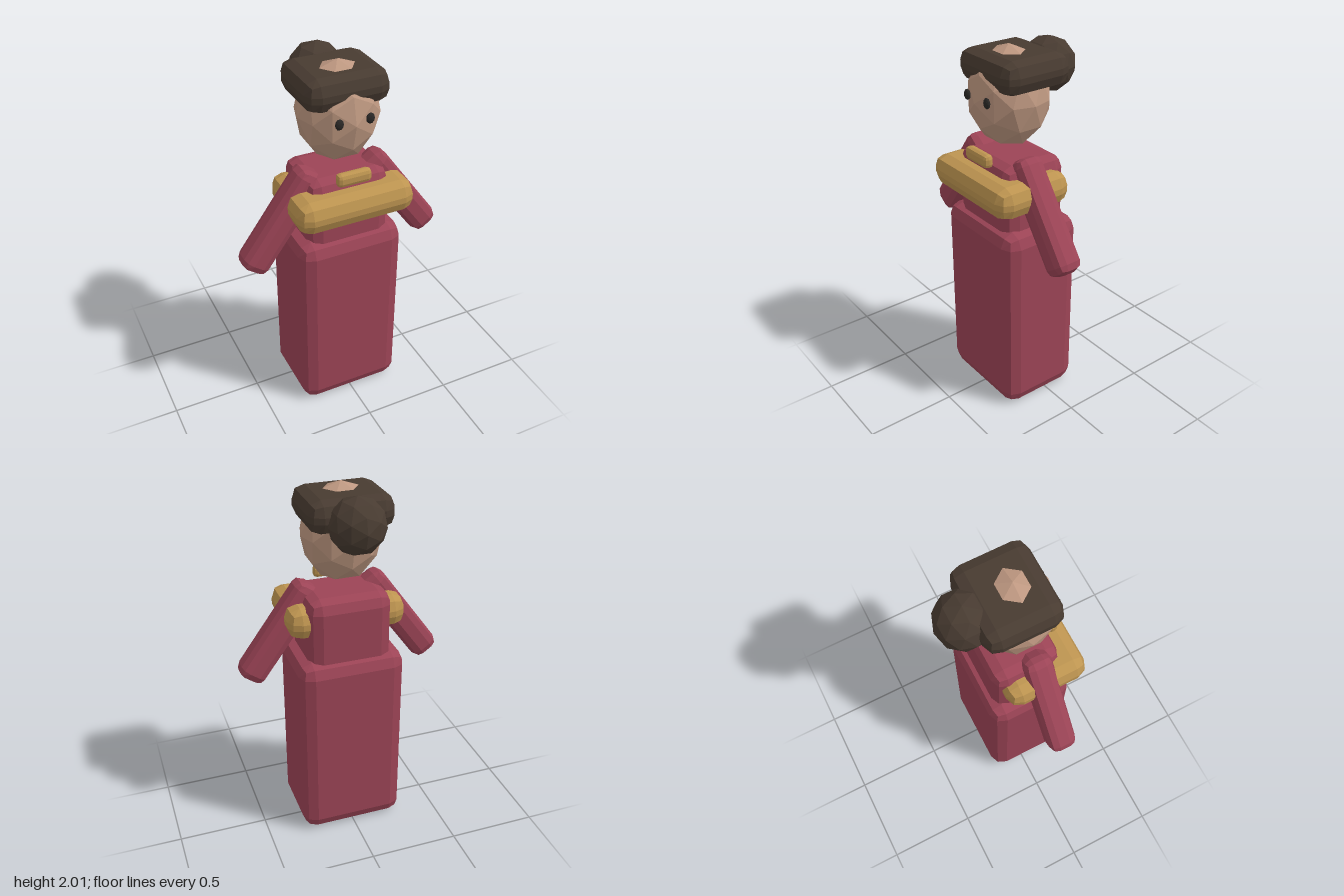
import * as THREE from 'three';
import { RoundedBoxGeometry } from 'three/addons/geometries/RoundedBoxGeometry.js';

const paint = (color) => new THREE.MeshStandardMaterial({ color, flatShading: true });

export function createModel() {
  const model = new THREE.Group();
  const cloth = paint(0x9c4456);
  const gold = paint(0xbd9450);
  const skin = paint(0xbd9780);
  const hair = paint(0x483b31);
  const dark = paint(0x2a2826);

  function add(name, geometry, material, x, y, z) {
    const mesh = new THREE.Mesh(geometry, material);
    mesh.name = name;
    mesh.position.set(x, y, z);
    model.add(mesh);
    return mesh;
  }

  // Faceted box; one bevel segment falls short of full size, so pad it
  function block(name, material, [w, h, d], r, [x, y, z]) {
    const pad = 0.19 * r;
    return add(name, new RoundedBoxGeometry(w + pad, h + pad, d + pad, 1, r), material, x, y, z);
  }

  // Low-poly ellipsoid
  function ball(name, material, [rx, ry, rz], [x, y, z]) {
    return add(name, new THREE.IcosahedronGeometry(1, 1).scale(rx, ry, rz), material, x, y, z);
  }

  // Dress
  block('skirt', cloth, [0.58, 1.08, 0.455], 0.075, [0, 0.54, 0.045]);
  block('torso', cloth, [0.45, 0.46, 0.365], 0.07, [0, 1.195, 0.045]);

  // Gold trim
  block('collar', gold, [0.64, 0.16, 0.435], 0.07, [0, 1.29, 0.118]);
  block('brooch', gold, [0.186, 0.068, 0.05], 0.022, [0, 1.445, 0.247]);

  // Head and hair
  ball('head', skin, [0.217, 0.266, 0.215], [0, 1.734, 0.055]);
  block('hairCap', hair, [0.44, 0.16, 0.39], 0.07, [0, 1.88, 0.025]);
  ball('hairBun', hair, [0.148, 0.148, 0.148], [0, 1.85, -0.193]);

  // Mirrored arms and eyes
  for (const [side, s] of [['left', 1], ['right', -1]]) {
    const arm = block(side + 'Arm', cloth, [0.148, 0.615, 0.146], 0.048, [s * 0.343, 1.195, 0.093]);
    arm.rotation.z = s * THREE.MathUtils.degToRad(36);
    ball(side + 'Eye', dark, [0.023, 0.029, 0.014], [s * 0.083, 1.756, 0.252]);
  }
  return model;
}
